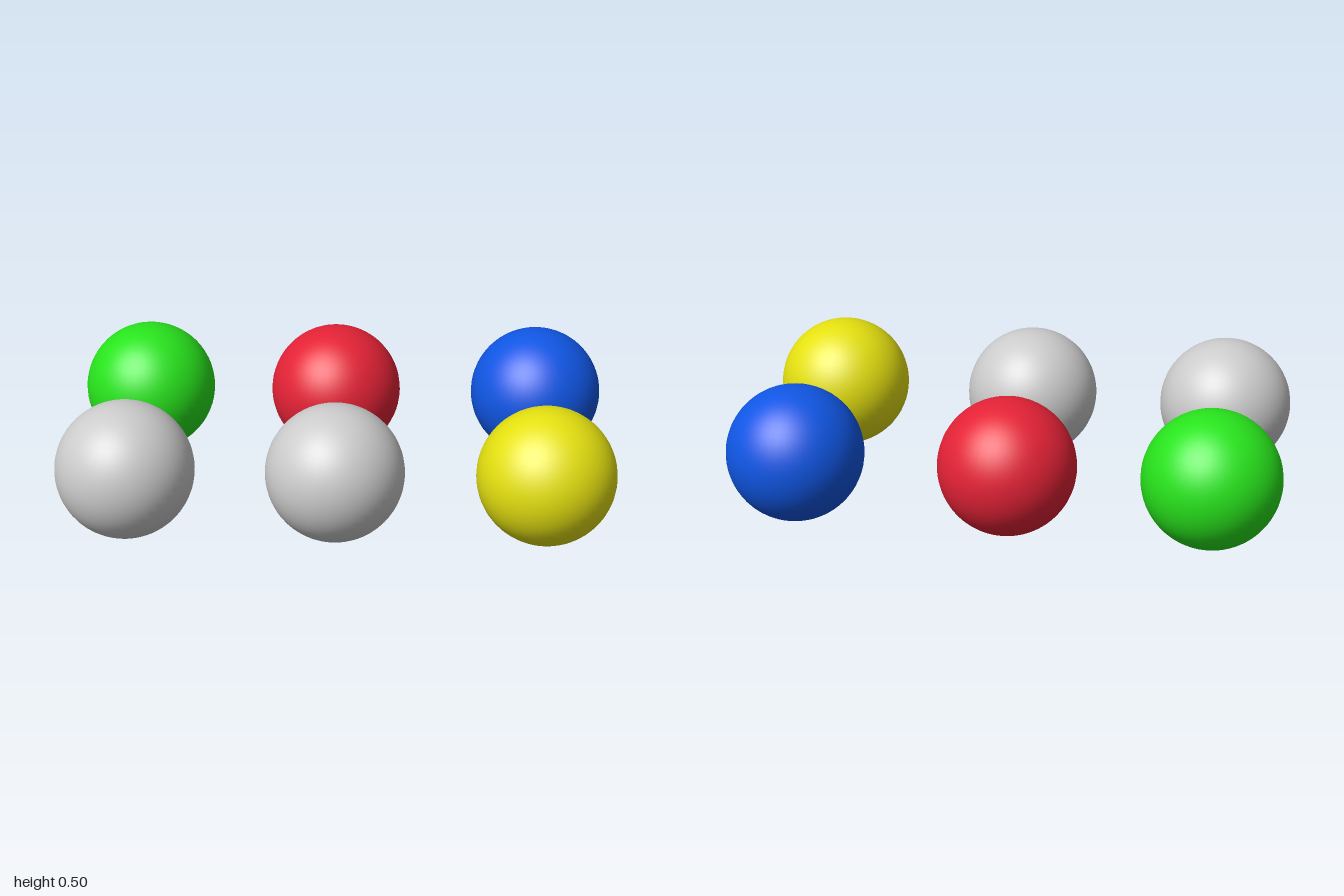
import * as THREE from 'three';

const RADIUS = 0.249;

export function createModel() {
  const model = new THREE.Group();
  model.name = 'ballSet';
  const geometry = new THREE.SphereGeometry(RADIUS, 48, 32);

  // Two rows of three balls: name, x, z, color
  const balls = [
    ['frontRightBall', -0.75, 0.374, 0xcccccc],
    ['frontMiddleBall', 0, 0.374, 0xcccccc],
    ['frontLeftBall', 0.75, 0.374, 0xe4e010],
    ['backRightBall', -0.75, -0.375, 0x28e41c],
    ['backMiddleBall', -0.025, -0.375, 0xe42236],
    ['backLeftBall', 0.75, -0.375, 0x1056e4],
  ];

  for (const [name, x, z, color] of balls) {
    const ball = new THREE.Mesh(geometry, new THREE.MeshStandardMaterial({ color }));
    ball.name = name;
    ball.position.set(x, RADIUS, z);
    model.add(ball);
  }
  return model;
}
